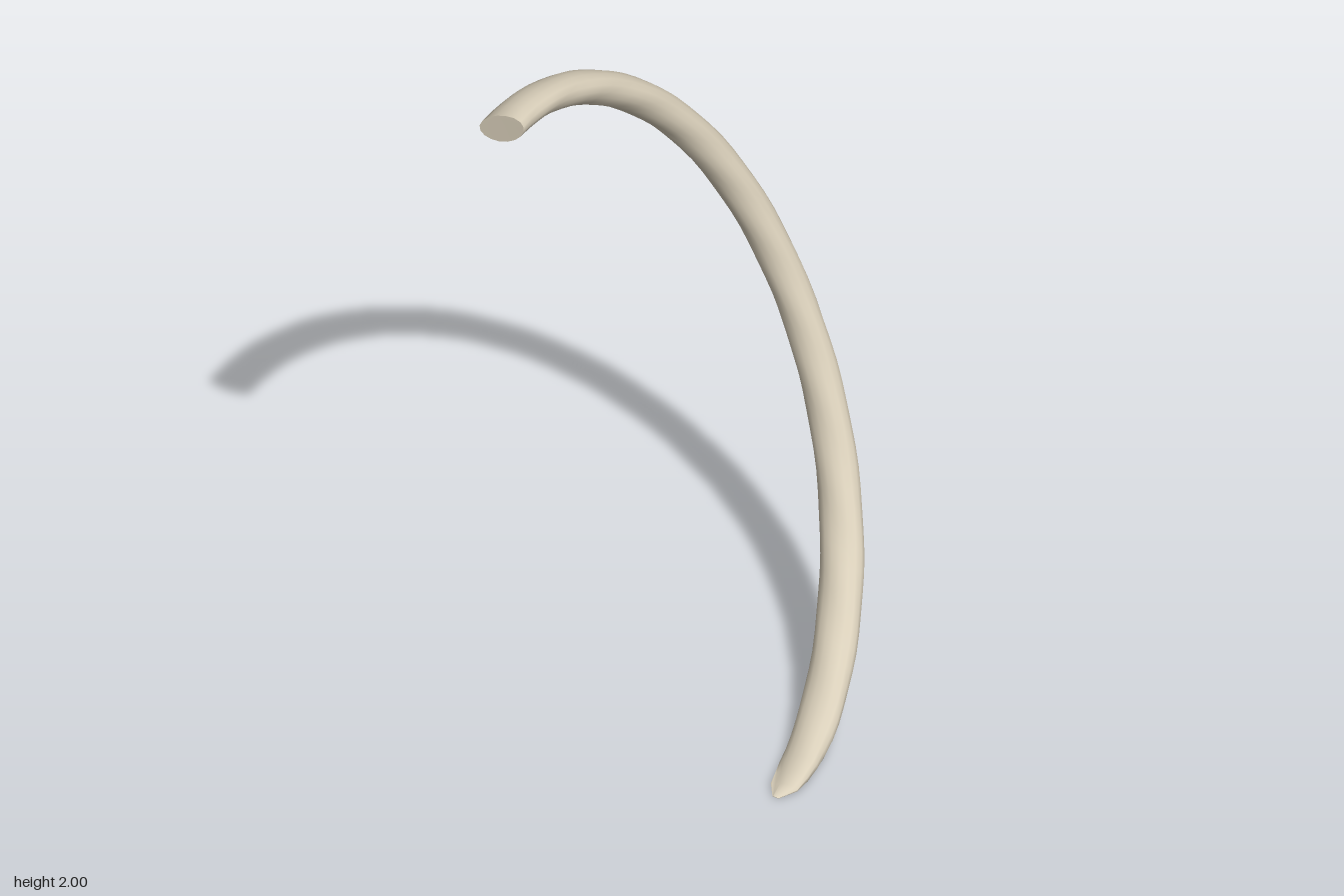
import * as THREE from 'three';

const SIDES = 16, RINGS = 56;

// Piecewise-linear lookup: stops are [t, value] pairs
function ramp(stops, t) {
  for (let i = 1; i < stops.length; i++) {
    const [t0, v0] = stops[i - 1], [t1, v1] = stops[i];
    if (t <= t1) return THREE.MathUtils.lerp(v0, v1, (t - t0) / (t1 - t0));
  }
  return stops[stops.length - 1][1];
}

// Half thickness (across the bow) and half width (along its side) from top end to tip
const THICK = [[0, 0.041], [0.12, 0.047], [0.5, 0.05], [0.8, 0.05], [0.92, 0.042], [1, 0.02]];
const WIDTH = [[0, 0.07], [0.12, 0.065], [0.3, 0.055], [0.5, 0.054], [0.75, 0.064],
  [0.9, 0.065], [0.95, 0.058], [0.983, 0.042], [1, 0.006]];

// Leaning half-ellipse bow; the cross-section is an oval turned with the curve
function ringPoints(t) {
  const theta = THREE.MathUtils.lerp(0.027, Math.PI - 0.027, t);
  const s = Math.sin(theta), c = Math.cos(theta);
  const y = 0.97 + (c > 0 ? 0.98 : 0.985) * c;
  const centre = new THREE.Vector3(-0.4 + 0.8 * (1.95 - y) / 1.92, y, 0.5 - 0.92 * s);
  const out = new THREE.Vector3(-0.387 * c, 0.922 * c, -s);
  const side = new THREE.Vector3(0.922, 0.387, 0);
  const a = ramp(THICK, t), b = ramp(WIDTH, t);
  const points = [];
  for (let j = 0; j < SIDES; j++) {
    const phi = j / SIDES * Math.PI * 2;
    // gentle hand-carved unevenness
    const wobble = 1 + 0.035 * Math.sin(t * 47 + 2 * phi) * Math.sin(t * 29 + phi);
    const p = centre.clone()
      .addScaledVector(out, a * wobble * Math.cos(phi))
      .addScaledVector(side, b * wobble * Math.sin(phi));
    // the lower end is worn flat underneath
    p.y = Math.max(p.y, 0.002 * (1 - Math.cos(phi)) * t * 0.5);
    p.z = Math.min(p.z, 0.475);
    points.push(p);
  }
  return points;
}

function meshFrom(name, points, index, material) {
  const geometry = new THREE.BufferGeometry().setFromPoints(points);
  geometry.setIndex(index);
  geometry.computeVertexNormals();
  const mesh = new THREE.Mesh(geometry, material);
  mesh.name = name;
  return mesh;
}

export function createModel() {
  const group = new THREE.Group();
  group.name = 'curvedHorn';
  const ivory = new THREE.MeshStandardMaterial({ color: 0xd9cfba, side: THREE.DoubleSide });
  ivory.name = 'ivory';

  // Curved shaft
  const points = [], index = [];
  for (let i = 0; i <= RINGS; i++) points.push(...ringPoints(i / RINGS));
  for (let i = 0; i < RINGS; i++) {
    for (let j = 0; j < SIDES; j++) {
      const k = (j + 1) % SIDES;
      const a = i * SIDES + j, b = i * SIDES + k;
      const c = a + SIDES, d = b + SIDES;
      index.push(a, b, c, b, d, c);
    }
  }
  group.add(meshFrom('shaft', points, index, ivory));

  // Flat cut at the top and the small closing face at the tip
  for (const [name, t] of [['topEnd', 0], ['tipEnd', 1]]) {
    const ring = ringPoints(t), fan = [];
    for (let j = 1; j < SIDES - 1; j++) {
      if (t === 0) fan.push(0, j + 1, j);
      else fan.push(0, j, j + 1);
    }
    group.add(meshFrom(name, ring, fan, ivory));
  }
  return group;
}
